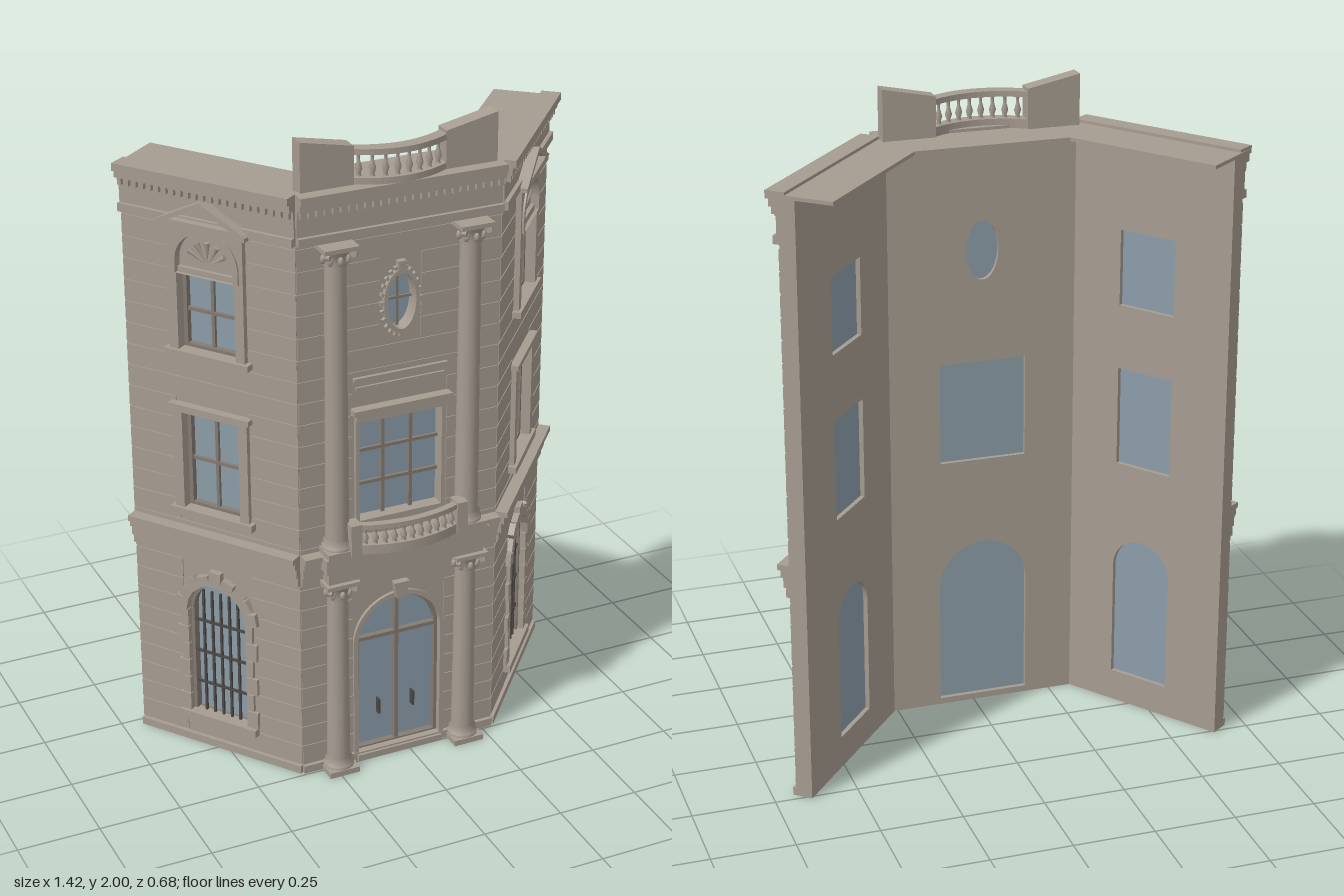
import * as THREE from 'three';
import { mergeGeometries } from 'three/addons/utils/BufferGeometryUtils.js';

const mat = (name, color) => Object.assign(new THREE.MeshStandardMaterial({ color }), { name });
const STONE = mat('stone', 0xa69c91), GLASS = mat('glass', 0x8b9ca8);
const TRIM = mat('window trim', 0x857b72), IRON = mat('iron', 0x4c4845);
const T = 0.05; // wall thickness

function add(parent, name, geos, material = STONE) {
  const list = [geos].flat().map(g => (g.index ? g.toNonIndexed() : g));
  const mesh = new THREE.Mesh(mergeGeometries(list), material);
  mesh.name = name;
  parent.add(mesh);
  return mesh;
}
// box centred on x, spanning y0..y1 and z0..z1
const box = (x, w, y0, y1, z0, z1) =>
  new THREE.BoxGeometry(w, y1 - y0, z1 - z0).translate(x, (y0 + y1) / 2, (z0 + z1) / 2);
const extrude = (shape, z0, z1) =>
  new THREE.ExtrudeGeometry(shape, { depth: z1 - z0, bevelEnabled: false, curveSegments: 20 }).translate(0, 0, z0);
const poly = pts => new THREE.Shape(pts.map(p => new THREE.Vector2(...p)));
const rect = (w, y0, y1) => poly([[-w / 2, y0], [w / 2, y0], [w / 2, y1], [-w / 2, y1]]);
function arch(w, y0, spring) {
  const s = new THREE.Shape();
  s.moveTo(-w / 2, y0).lineTo(w / 2, y0).lineTo(w / 2, spring);
  s.absarc(0, spring, w / 2, 0, Math.PI, false);
  return s.closePath();
}
const oval = (rx, ry, y) => new THREE.Shape().absellipse(0, y, rx, ry, 0, Math.PI * 2, false);
function ring(outer, inner, z0, z1) {
  outer.holes.push(inner);
  return extrude(outer, z0, z1);
}
// horizontal slab from an outline in x and z
const slab = (pts, y0, y1) => extrude(poly(pts.map(([x, z]) => [x, -z])), y0, y1).rotateX(-Math.PI / 2);
// bowed band: front edge bulges forward by `bulge`
function bowed(h, zEnd, bulge, width, y0, y1) {
  const front = [], back = [];
  for (let i = 0; i <= 16; i++) {
    const t = i / 8 - 1, z = zEnd + bulge * (1 - t * t);
    front.push([t * h, z]);
    back.unshift([t * h, z - width]);
  }
  return slab([...front, ...back], y0, y1);
}
function balusters(n, h, zEnd, bulge, y0, y1) {
  const H = y1 - y0, out = [];
  const prof = [[.009, 0], [.006, .12], [.011, .35], [.005, .65], [.005, .85], [.009, 1]]
    .map(([r, t]) => new THREE.Vector2(r, t * H));
  for (let i = 0; i < n; i++) {
    const t = ((i + .5) / n) * 2 - 1;
    out.push(new THREE.LatheGeometry(prof, 8).translate(t * h, y0, zEnd + bulge * (1 - t * t)));
  }
  return out;
}

// one wall with openings, stone courses, base, string course and main cornice
function facade(root, name, a, b, openings, blocked) {
  const [dx, dz] = [b[0] - a[0], b[1] - a[1]], L = Math.hypot(dx, dz);
  const g = new THREE.Group();
  g.name = name;
  g.position.set((a[0] + b[0]) / 2, 0, (a[1] + b[1]) / 2);
  g.rotation.y = Math.atan2(-dz, dx);
  root.add(g);
  const wall = rect(L, 0, 1.84);
  wall.holes.push(...openings);
  add(g, 'wall', extrude(wall, -T, 0));
  add(g, 'glazing', openings.map(o => extrude(o, -.036, -.03)), GLASS);
  const courses = [];
  for (let y = .03; y < 1.69; y += .0667) {
    const y1 = y + .062;
    const hw = Math.max(0, ...blocked.map(([w, b0, b1]) => (y1 > b0 && y < b1 ? w : 0)));
    if (!hw) courses.push(box(0, L, y, y1, -.01, .003));
    else for (const s of [-1, 1]) courses.push(box(s * (L / 2 + hw) / 2, L / 2 - hw, y, y1, -.01, .003));
  }
  add(g, 'stoneCourses', courses);
  add(g, 'base', [box(-1, 0, 0, 0, 0, 0), box(0, L, 0, .025, -.02, .012)].slice(1));
  add(g, 'stringCourse', [[.645, .675, .014], [.675, .705, .022], [.705, .727, .03], [.727, .745, .04]]
    .map(([y0, y1, p]) => box(0, L, y0, y1, -.02, p)));
  add(g, 'cornice', [[1.705, 1.73, .02], [1.73, 1.785, .008], [1.785, 1.81, .012], [1.81, 1.832, .03], [1.832, 1.855, .04]]
    .map(([y0, y1, p]) => box(0, L, y0, y1, -.02, p)));
  const n = Math.floor(L / .024), teeth = [];
  for (let i = 0; i < n; i++) teeth.push(box((i + .5) * L / n - L / 2, .013, 1.788, 1.81, .01, .024));
  add(g, 'dentils', teeth);
  return g;
}

// glazing bars between x -w/2..w/2 and y0..y1
function bars(g, name, w, y0, y1, nx, ny, t, z, material) {
  const list = [];
  for (let i = 1; i < nx; i++) list.push(box(-w / 2 + w * i / nx, t, y0, y1, z - t / 2, z + t / 2));
  for (let j = 1; j < ny; j++) { const y = y0 + (y1 - y0) * j / ny; list.push(box(0, w, y - t / 2, y + t / 2, z - t / 2, z + t / 2)); }
  add(g, name, list, material);
}

function wing(root, name, a, b) {
  const g = facade(root, name, a, b, [arch(.2, .1, .465), rect(.19, .81, 1.12), rect(.19, 1.32, 1.555)],
    [[.12, .08, .58], [.12, .79, 1.14], [.12, 1.3, 1.72]]);
  // ground floor arched window
  add(g, 'archTrim', ring(arch(.2, .1, .465), arch(.18, .11, .465), -.03, -.005), TRIM);
  bars(g, 'ironGrille', .18, .1, .53, 6, 4, .007, -.012, IRON);
  const blocks = [];
  for (let i = 0; i < 9; i++) {
    const t = (i + .5) / 9 * Math.PI, h = i === 4 ? .05 : i % 2 ? .034 : .042;
    blocks.push(new THREE.BoxGeometry(.04, h, .03).translate(0, .1 + h / 2, 0)
      .rotateZ(t - Math.PI / 2).translate(0, .465, .004));
  }
  for (let i = 0; i < 6; i++) for (const s of [-1, 1]) {
    const w = i % 2 ? .024 : .038;
    blocks.push(box(s * (.1 + w / 2), w, .11 + i * .059, .166 + i * .059, -.01, .014));
  }
  add(g, 'archStones', blocks);
  add(g, 'lowerSill', box(0, .27, .085, .11, -.02, .025));
  // first floor window
  add(g, 'middleFrame', [ring(rect(.25, .81, 1.145), rect(.19, .81, 1.12), -.01, .018), box(0, .27, 1.13, 1.147, -.01, .026)]);
  add(g, 'middleSill', box(0, .28, .79, .812, -.02, .028));
  add(g, 'middleSash', ring(rect(.19, .81, 1.12), rect(.165, .822, 1.108), -.03, -.012), TRIM);
  bars(g, 'middleBars', .17, .815, 1.115, 2, 2, .01, -.022, TRIM);
  // top window with arched niche and pediment
  add(g, 'upperFrame', ring(rect(.25, 1.32, 1.705), arch(.19, 1.32, 1.595), -.01, .02));
  add(g, 'archMoulding', ring(arch(.225, 1.56, 1.595), arch(.19, 1.56, 1.595), .015, .026));
  add(g, 'upperSill', box(0, .28, 1.303, 1.322, -.02, .03));
  add(g, 'transom', box(0, .2, 1.555, 1.575, -.03, .012));
  add(g, 'upperSash', ring(rect(.19, 1.32, 1.555), rect(.165, 1.332, 1.543), -.03, -.012), TRIM);
  bars(g, 'upperBars', .17, 1.325, 1.55, 2, 2, .01, -.022, TRIM);
  add(g, 'nicheFan', [-2, -1, 0, 1, 2].map(i => new THREE.ConeGeometry(.009, .06, 6).rotateZ(Math.PI)
    .translate(0, .04, 0).rotateZ(-i * .5).translate(0, 1.59, .004)));
  add(g, 'pediment', [box(0, .29, 1.7, 1.718, 0, .04),
    ring(poly([[-.15, 1.715], [.15, 1.715], [0, 1.79]]), poly([[-.1, 1.725], [.1, 1.725], [0, 1.772]]), 0, .042)]);
}

function column(g, x, z, y0, y1) {
  const p = [[.046, .018], [.046, .028], [.038, .034], [.042, .042], [.035, .05], [.031, y1 - y0 - .065],
    [.036, y1 - y0 - .06], [.032, y1 - y0 - .054], [.037, y1 - y0 - .03], [.048, y1 - y0 - .012]];
  const parts = [new THREE.LatheGeometry(p.map(q => new THREE.Vector2(...q)), 20).translate(x, y0, z),
    box(x, .096, y0, y0 + .018, z - .048, z + .048), box(x, .104, y1 - .013, y1, z - .05, z + .05)];
  for (let i = 0; i < 8; i++) { // leaves, then corner scrolls
    const t = i * Math.PI / 4;
    parts.push(new THREE.SphereGeometry(.009, 6, 5).scale(1, 1.6, 1)
      .translate(x + Math.sin(t) * .037, y1 - .042, z + Math.cos(t) * .037));
    if (i % 2) parts.push(new THREE.CylinderGeometry(.011, .011, .014, 8).rotateX(Math.PI / 2)
      .rotateY(t + Math.PI / 2).translate(x + Math.sin(t) * .055, y1 - .022, z + Math.cos(t) * .055));
  }
  add(g, 'column', parts);
}

function centre(root, a, b) {
  const g = facade(root, 'centreFront', a, b, [arch(.28, .02, .405), rect(.27, .82, 1.14), oval(.05, .092, 1.49)],
    [[.15, 0, .56], [.15, .745, 1.19], [.065, 1.37, 1.62]]);
  // entrance
  add(g, 'doorSurround', [ring(arch(.3, .02, .405), arch(.27, .02, .405), -.03, .01)]);
  add(g, 'doorFrame', [ring(arch(.272, .02, .405), arch(.25, .03, .405), -.03, -.01), box(0, .26, .398, .41, -.03, -.012),
    box(0, .012, .02, .535, -.03, -.012)], TRIM);
  add(g, 'doorHandles', [-1, 1].map(s => box(s * .057, .006, .13, .18, -.03, -.01)), IRON);
  add(g, 'keystone', extrude(poly([[-.016, .54], [.016, .54], [.024, .592], [-.024, .592]]), -.01, .025));
  add(g, 'doorStep', box(0, .28, 0, .02, -.02, .02));
  // large window
  add(g, 'windowFrame', ring(rect(.285, .8, 1.15), rect(.262, .82, 1.135), -.03, .012));
  bars(g, 'windowBars', .265, .82, 1.14, 3, 3, .01, -.02, TRIM);
  add(g, 'windowHood', [box(0, .285, 1.145, 1.165, 0, .02), box(0, .31, 1.165, 1.182, 0, .032),
    box(0, .28, 1.235, 1.246, 0, .01), box(0, .295, 1.265, 1.276, 0, .014)]);
  // oval window
  add(g, 'ovalFrame', ring(oval(.056, .098, 1.49), oval(.044, .085, 1.49), -.03, .016));
  const rays = [];
  for (let i = 0; i < 24; i++) {
    const t = i / 24 * Math.PI * 2;
    rays.push(new THREE.BoxGeometry(.011, .01, .014).rotateZ(t)
      .translate(Math.cos(t) * .06, 1.49 + Math.sin(t) * .103, .005));
  }
  add(g, 'ovalStones', [...rays, box(0, .024, 1.585, 1.613, -.01, .02)]);
  bars(g, 'ovalBars', .09, 1.4, 1.58, 2, 2, .008, -.02, TRIM);
  // columns and the ledge between storeys
  for (const s of [-1, 1]) {
    column(g, s * .208, .023, 0, .657);
    column(g, s * .208, .023, .745, 1.705);
  }
  add(g, 'columnLedge', [box(0, .5, .657, .7, 0, .058), box(0, .524, .7, .745, 0, .071)]);
  // balcony
  add(g, 'balconyFloor', bowed(.155, .071, .035, .08, .745, .775));
  add(g, 'balconyRail', bowed(.16, .071, .032, .024, .825, .84));
  add(g, 'balconyBalusters', balusters(11, .152, .059, .032, .775, .825));
  add(g, 'balconyPosts', [-1, 1].map(s => box(s * .17, .034, .745, .845, .03, .078)));
  // roof parapet
  for (const s of [-1, 1]) {
    const pts = [[s * .3, 1.84], [s * .14, 1.84], [s * .14, 1.967], [s * .3, 2]];
    add(g, 'parapetBlock', extrude(poly(pts), -.05, 0));
  }
  add(g, 'parapetBase', bowed(.142, -.002, .042, .042, 1.84, 1.874));
  add(g, 'parapetRail', bowed(.142, -.002, .042, .042, 1.94, 1.957));
  add(g, 'parapetBalusters', balusters(8, .138, -.022, .042, 1.872, 1.942));
}

export function createModel() {
  const root = new THREE.Group();
  root.name = 'cornerBuilding';
  const A = [-.68, -.23], B = [-.347, .232], C = [.284, .232], D = [.68, -.23];
  wing(root, 'rightWing', A, B);
  centre(root, B, C);
  wing(root, 'leftWing', C, D);
  // thin roof plate overhanging the back
  add(root, 'roof', slab([[-.712, -.207], B, C, [.71, -.205], [.555, -.34], [.21, .06], [-.26, .06], [-.547, -.34]], 1.835, 1.846));
  return root;
}
